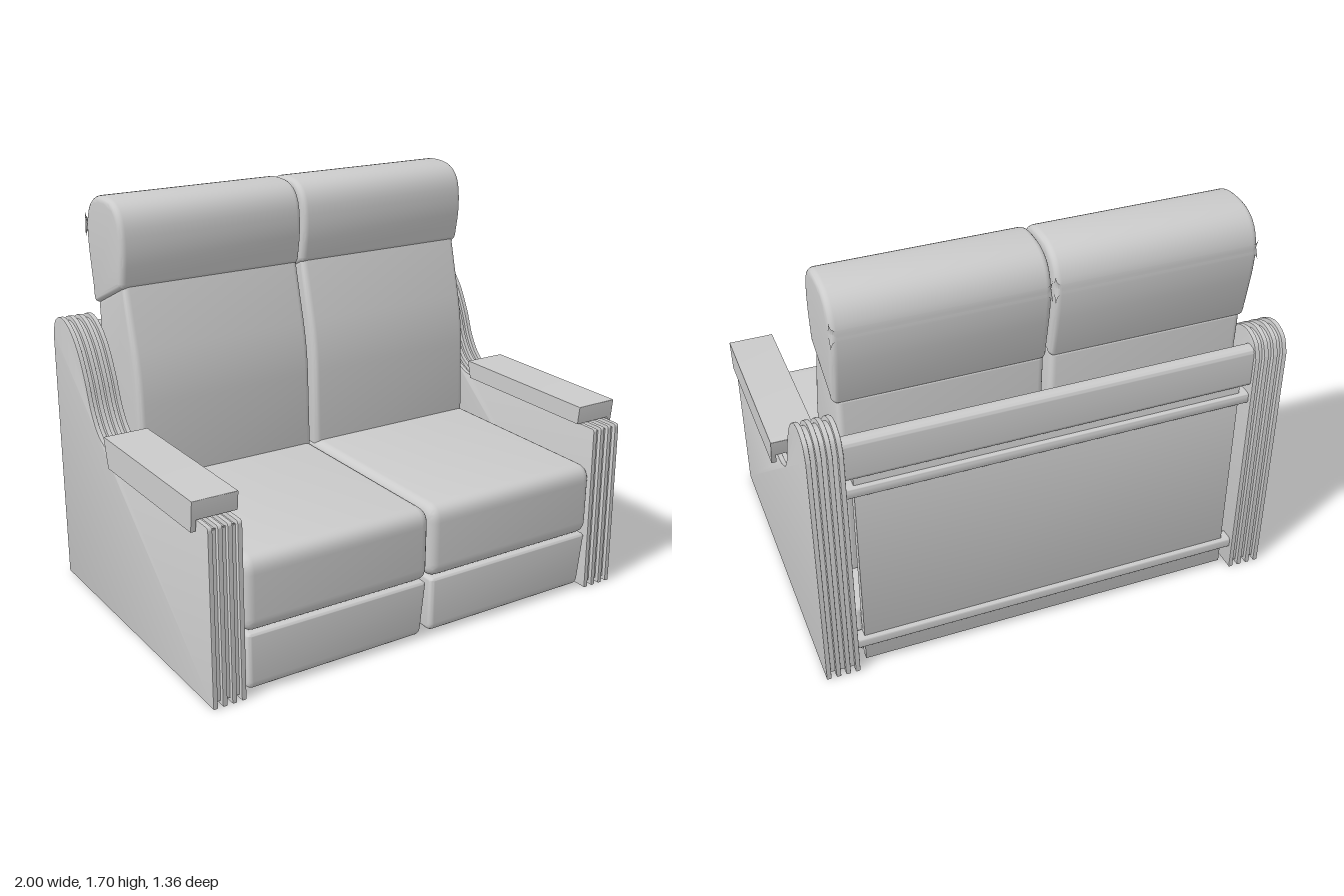
import * as THREE from 'three';
import { toCreasedNormals } from 'three/addons/utils/BufferGeometryUtils.js';

const material = new THREE.MeshStandardMaterial({ color: 0xcccccc });

// Closed outline in (z, y) whose corners [z, y, r] are rounded over a length r
function roundedOutline(points) {
  const shape = new THREE.Shape();
  const n = points.length;
  points.forEach(([z, y, r], i) => {
    const corner = new THREE.Vector2(z, y);
    const toward = ([a, b]) =>
      new THREE.Vector2(a, b).sub(corner).setLength(r).add(corner);
    const start = toward(points[(i + n - 1) % n]);
    const end = toward(points[(i + 1) % n]);
    if (i === 0) shape.moveTo(start.x, start.y);
    else shape.lineTo(start.x, start.y);
    if (r > 0) shape.quadraticCurveTo(z, y, end.x, end.y);
  });
  shape.closePath();
  return shape;
}

// Extrudes a (z, y) outline across x, from x0 to x1, with rounded side edges
function slab(name, shape, x0, x1, { bevel = 0, inset = 0, segments = 5, crease = 0.6 } = {}) {
  const width = x1 - x0;
  const geometry = new THREE.ExtrudeGeometry(shape, {
    depth: width - 2 * bevel,
    curveSegments: 10,
    bevelEnabled: bevel > 0 || inset > 0,
    bevelThickness: bevel,
    bevelSize: bevel,
    bevelOffset: -bevel - inset,
    bevelSegments: bevel > 0 ? segments : 1,
  });
  geometry.translate(0, 0, bevel - width / 2);
  geometry.rotateY(-Math.PI / 2);
  const mesh = new THREE.Mesh(toCreasedNormals(geometry, crease), material);
  mesh.name = name;
  mesh.position.x = (x0 + x1) / 2;
  return mesh;
}

// Side panel outline: low arm that sweeps up to a rounded back post
function sideOutline() {
  const shape = new THREE.Shape();
  shape.moveTo(0.68, 0);
  shape.lineTo(0.68, 0.715);
  shape.quadraticCurveTo(0.68, 0.73, 0.665, 0.73);
  shape.lineTo(-0.14, 0.735);
  shape.splineThru([
    [-0.2, 0.745], [-0.27, 0.785], [-0.325, 0.865], [-0.37, 0.98],
    [-0.43, 1.09], [-0.5, 1.16], [-0.58, 1.19], [-0.65, 1.165], [-0.68, 1.1],
  ].map(([z, y]) => new THREE.Vector2(z, y)));
  shape.lineTo(-0.68, 0);
  shape.closePath();
  return shape;
}

export function createModel() {
  const model = new THREE.Group();
  model.name = 'twoSeatSofa';

  const side = sideOutline();
  const seat = roundedOutline([
    [0.68, 0.26, 0.06], [0.685, 0.57, 0.07], [-0.3, 0.57, 0.02], [-0.3, 0.26, 0.02],
  ]);
  const base = roundedOutline([
    [0.66, 0.012, 0.04], [0.678, 0.26, 0.02], [-0.6, 0.26, 0.02], [-0.6, 0.012, 0.04],
  ]);
  const backrest = roundedOutline([
    [-0.18, 0.4, 0.02], [-0.2, 1.0, 0.12], [-0.295, 1.375, 0.02],
    [-0.56, 1.25, 0.02], [-0.53, 0.4, 0.02],
  ]);
  const headrest = roundedOutline([
    [-0.288, 1.355, 0.02], [-0.26, 1.5, 0.06], [-0.275, 1.7, 0.13],
    [-0.595, 1.705, 0.165], [-0.607, 1.5, 0.08], [-0.56, 1.235, 0.025],
  ]);
  const padTop = roundedOutline([
    [0.612, 0.812, 0.004], [0.603, 0.735, 0], [-0.128, 0.735, 0], [-0.147, 0.812, 0.004],
  ]);
  const padSkirt = roundedOutline([
    [0.603, 0.737, 0], [0.597, 0.688, 0], [-0.115, 0.688, 0], [-0.128, 0.737, 0],
  ]);

  for (const s of [1, -1]) {
    const half = new THREE.Group();
    half.name = s > 0 ? 'leftHalf' : 'rightHalf';
    const add = (name, shape, a, b, options) => {
      const mesh = slab(name, shape, s > 0 ? a : -b, s > 0 ? b : -a, options);
      half.add(mesh);
      return mesh;
    };

    // Side panel of four ribs with recessed layers between them
    const layer = 0.14 / 7;
    for (let i = 0; i < 7; i++) {
      const x = 0.835 + i * layer;
      if (i % 2) add('sideGroove', side, x - 0.002, x + layer + 0.002, { inset: 0.018 });
      else add('sideRib', side, x, x + layer, { bevel: 0.004, segments: 2 });
    }

    // Armrest cap and its outer skirt
    add('armPad', padTop, 0.812, 1, { crease: 0.3 });
    add('armPadSkirt', padSkirt, 0.98, 1, { crease: 0.3 });

    // Upholstery
    add('seatCushion', seat, 0.004, 0.832, { bevel: 0.04 });
    const baseMesh = add('seatBase', base, 0.01, 0.825, { bevel: 0.02 });
    add('backCushion', backrest, 0.012, 0.818, { bevel: 0.025 });
    add('headrest', headrest, 0.005, 0.834, { bevel: 0.025 });

    // The base narrows slightly toward the floor
    const p = baseMesh.geometry.attributes.position;
    for (let i = 0; i < p.count; i++) {
      p.setX(i, p.getX(i) * (0.965 + 0.14 * Math.min(p.getY(i), 0.25)));
    }

    model.add(half);
  }

  // Rear panel with horizontal rails
  const rail = (name, y0, y1, z0, z1, r, w) =>
    model.add(slab(name, roundedOutline([
      [z1, y0, r], [z1, y1, r], [z0, y1, r], [z0, y0, r],
    ]), -w, w));
  rail('rearPanel', 0.02, 1.1, -0.645, -0.61, 0.004, 0.8);
  rail('rearTopRail', 0.96, 1.14, -0.665, -0.6, 0.028, 0.84);
  rail('rearUpperStrip', 0.875, 0.925, -0.662, -0.6, 0.015, 0.84);
  rail('rearLowerStrip', 0.1, 0.15, -0.662, -0.6, 0.015, 0.84);

  return model;
}
